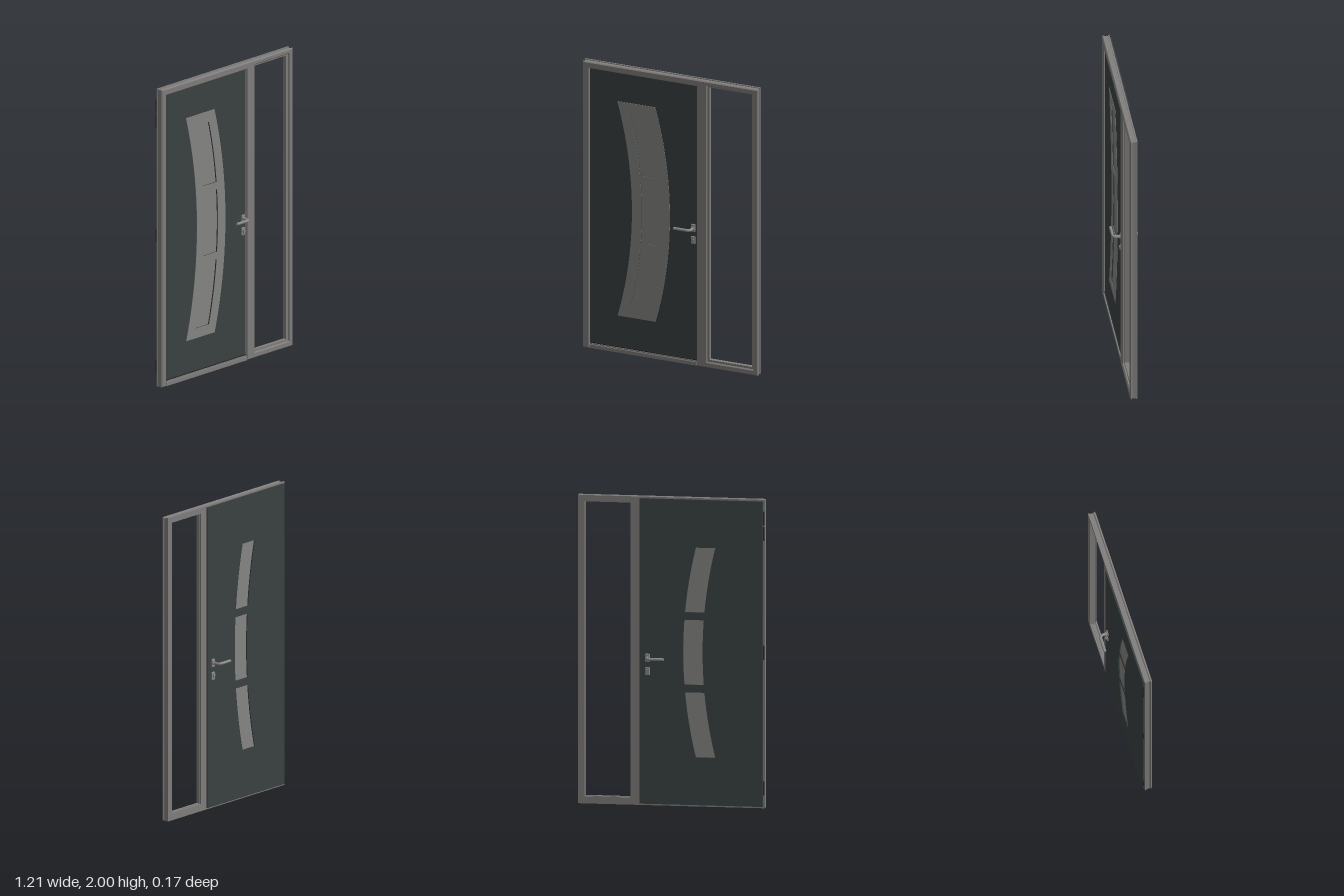
import * as THREE from 'three';
import { RoundedBoxGeometry } from 'three/addons/geometries/RoundedBoxGeometry.js';

const mat = (name, color) => new THREE.MeshStandardMaterial({ name, color });

export function createModel() {
  const model = new THREE.Group();
  model.name = 'entranceDoor';
  const frameGrey = mat('frameGrey', 0x807f7d);
  const leafGrey = mat('leafAnthracite', 0x3b4242);
  const panelGrey = mat('panelGrey', 0x868684);
  const steel = mat('handleSteel', 0x8a8a88);
  const dark = mat('hingeDark', 0x2a2c2c);

  const add = (name, geo, material, parent = model) => {
    const m = new THREE.Mesh(geo, material);
    m.name = name;
    parent.add(m);
    return m;
  };
  const box = (name, x0, x1, y0, y1, z0, z1, material, parent) =>
    add(name, new THREE.BoxGeometry(x1 - x0, y1 - y0, z1 - z0)
      .translate((x0 + x1) / 2, (y0 + y1) / 2, (z0 + z1) / 2), material, parent);
  const poly = (pts) => pts.map(([x, y]) => new THREE.Vector2(x, y));
  // Extrudes a shape between two depths, with an optional chamfer
  const slab = (shape, z0, z1, bevel = 0) => new THREE.ExtrudeGeometry(shape, {
    depth: z1 - z0 - 2 * bevel, bevelEnabled: bevel > 0, bevelThickness: bevel,
    bevelSize: bevel, bevelOffset: -bevel, bevelSegments: 1,
  }).translate(0, 0, z0 + bevel);

  // Frame: outer outline notched around the door, one hole for the side light
  const frameShape = (inset, widen) => {
    const a = -0.605 + inset, b = 0.605 - inset, t = 2 - inset;
    const s = new THREE.Shape(poly([[a, 0], [-0.56, 0], [-0.56, 1.955], [0.18, 1.955],
      [0.18, 0], [b, 0], [b, t], [a, t]]));
    const l = 0.265 - widen, r = 0.557 + widen, d = 0.05 - widen, u = 1.957 + widen;
    s.holes.push(new THREE.Path(poly([[l, d], [l, u], [r, u], [r, d]])));
    return s;
  };
  const frame = new THREE.Group();
  frame.name = 'frame';
  model.add(frame);
  add('frameFront', slab(frameShape(0, 0.012), 0.019, 0.035, 0.006), frameGrey, frame);
  add('frameCore', slab(frameShape(0.005, 0), -0.004, 0.019), frameGrey, frame);
  add('frameBack', slab(frameShape(0, 0.004), -0.014, -0.004), frameGrey, frame);
  box('threshold', -0.56, 0.18, 0, 0.024, -0.014, 0.032, frameGrey, frame);
  box('thresholdLip', -0.56, 0.18, 0.024, 0.031, -0.014, 0.025, frameGrey, frame);

  // Curved band: both long edges follow the same arc, bulging towards +x at y = 1
  const R = 2.86;
  const bow = (y) => Math.sqrt(R * R - (y - 1) ** 2) - R;
  const band = (left, right, y0, y1, n = 20) => {
    const pts = [];
    for (let i = 0; i <= n; i++) {
      const y = y0 + (y1 - y0) * i / n;
      pts.push([right + bow(y), y]);
    }
    for (let i = n; i >= 0; i--) {
      const y = y0 + (y1 - y0) * i / n;
      pts.push([left + bow(y), y]);
    }
    return poly(pts);
  };
  const panes = [[0.32, 0.74], [0.79, 1.21], [1.26, 1.68]];
  const withPanes = (points) => {
    const s = new THREE.Shape(points);
    for (const [y0, y1] of panes) s.holes.push(new THREE.Path(band(-0.203, -0.077, y0, y1).reverse()));
    return s;
  };
  const rect = (x0, x1, y0, y1) => poly([[x0, y0], [x1, y0], [x1, y1], [x0, y1]]);

  // Door leaf: body inside the frame and a larger rebated back
  const leaf = new THREE.Group();
  leaf.name = 'doorLeaf';
  model.add(leaf);
  add('leafBody', slab(withPanes(rect(-0.559, 0.179, 0.032, 1.954)), -0.014, 0.022), leafGrey, leaf);
  add('leafBack', slab(withPanes(rect(-0.592, 0.205, 0.01, 1.99)), -0.024, -0.0142), leafGrey, leaf);
  box('dripRail', -0.559, 0.179, 0.034, 0.041, 0.022, 0.026, dark, leaf);
  add('curvedPanel', slab(withPanes(band(-0.27, -0.008, 0.255, 1.755, 32)), 0.022, 0.024), panelGrey, leaf);
  for (const [y0, y1] of panes) {
    add('pane', slab(new THREE.Shape(band(-0.203, -0.077, y0, y1)), -0.017, 0.014), panelGrey, leaf);
  }

  // Lever, rosette and lock plate on both faces
  for (const s of [1, -1]) {
    const handle = new THREE.Group();
    handle.name = s > 0 ? 'frontHandle' : 'backHandle';
    model.add(handle);
    const face = s > 0 ? 0.022 : -0.024;
    const v = (x, z) => new THREE.Vector3(x, 0.957, s * z);
    const path = new THREE.CurvePath();
    path.add(new THREE.LineCurve3(v(0.153, 0.022), v(0.153, 0.052)));
    path.add(new THREE.QuadraticBezierCurve3(v(0.153, 0.052), v(0.153, 0.078), v(0.127, 0.078)));
    path.add(new THREE.LineCurve3(v(0.127, 0.078), v(0.042, 0.078)));
    add('lever', new THREE.TubeGeometry(path, 40, 0.0095, 12), steel, handle);
    add('leverEnd', new THREE.CylinderGeometry(0.0095, 0.0095, 0.003, 12)
      .rotateZ(Math.PI / 2).translate(0.0415, 0.957, s * 0.078), steel, handle);
    add('leverCollar', new THREE.CylinderGeometry(0.013, 0.013, 0.016, 16)
      .rotateX(Math.PI / 2).translate(0.153, 0.957, face + s * 0.009), steel, handle);
    add('rosette', new RoundedBoxGeometry(0.03, 0.054, 0.01, 3, 0.0045)
      .translate(0.153, 0.957, face + s * 0.003), steel, handle);
    add('lockPlate', new RoundedBoxGeometry(0.03, 0.054, 0.01, 3, 0.0045)
      .translate(0.153, 0.872, face + s * 0.003), steel, handle);
    add('lockCylinder', new THREE.CylinderGeometry(0.0085, 0.0085, 0.016, 16)
      .rotateX(Math.PI / 2).translate(0.153, 0.878, face + s * 0.008), steel, handle);
    box('lockCylinderTail', 0.149, 0.157, 0.858, 0.878, face + s * 0.008 - 0.006,
      face + s * 0.008 + 0.006, steel, handle);
  }

  // Hinges along the back edge
  for (const y of [0.13, 1.01, 1.78, 1.88]) {
    add('hinge', new THREE.CylinderGeometry(0.006, 0.006, 0.09, 12)
      .translate(-0.598, y, -0.021), dark);
  }
  return model;
}
